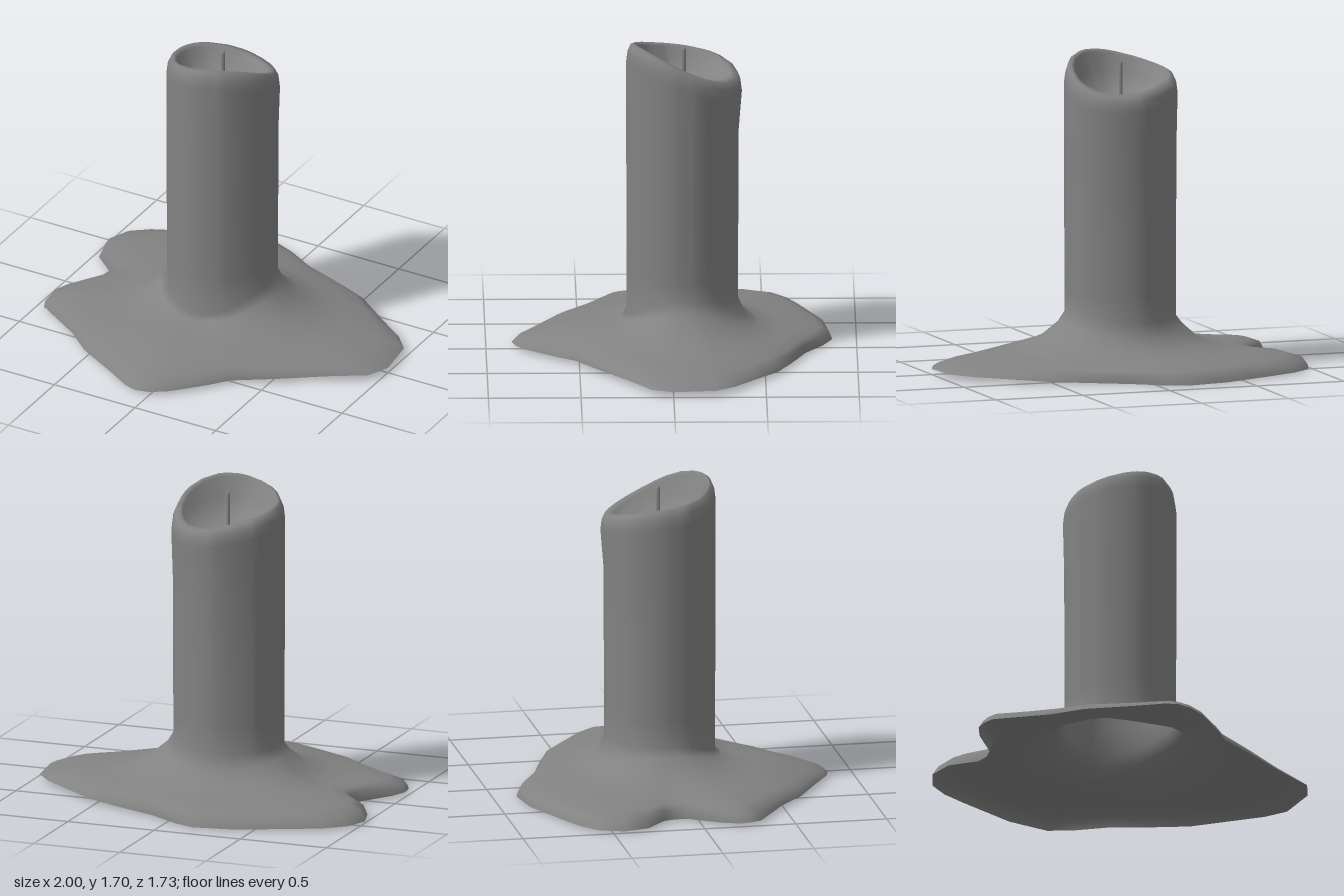
import * as THREE from 'three';

const CX = -0.06, CZ = -0.06;
const COLOR = 0x828282;

// Edge of the wax pool, x then z, running from +x towards +z
const OUTLINE = [
  1, 0, 0.95, 0.12, 0.75, 0.24, 0.53, 0.39, 0.32, 0.52, 0.24, 0.62, 0.09, 0.78, 0, 0.84,
  -0.08, 0.86, -0.15, 0.84, -0.3, 0.75, -0.53, 0.62, -0.68, 0.49, -0.95, 0.32, -0.975, 0.26,
  -0.98, 0.2, -0.94, 0.11, -0.82, -0.05, -0.81, -0.12, -0.83, -0.19, -0.96, -0.3, -1, -0.44,
  -0.95, -0.57, -0.85, -0.65, -0.72, -0.71, -0.4, -0.84, -0.17, -0.87, -0.05, -0.82,
  0.12, -0.72, 0.33, -0.65, 0.54, -0.57, 0.71, -0.45, 0.88, -0.33, 0.97, -0.23,
];

// Pool rings: fraction from column to edge, then height at front, back, left (+x), right (-x)
const POOL = [
  [0.96, 0.045, 0.045, 0.05, 0.06],
  [0.85, 0.07, 0.068, 0.078, 0.088],
  [0.62, 0.11, 0.092, 0.1, 0.1],
  [0.42, 0.135, 0.105, 0.12, 0.107],
  [0.2, 0.145, 0.13, 0.185, 0.16],
  [0.06, 0.165, 0.185, 0.26, 0.235],
  [0, 0.185, 0.27, 0.32, 0.28],
];

const FLOOR = 1.47;
const lerp = THREE.MathUtils.lerp;

// Uneven height of the melted rim around the candle
const rimHeight = (a) => 1.61 + 0.083 * Math.sin(a) + 0.022 * Math.sin(2 * a);

// One strand of points from the pool edge, up the column and into the melted bowl
function strand(x, z) {
  const a = Math.atan2(z - CZ, x - CX);
  const c = Math.cos(a), s = Math.sin(a), h = rimHeight(a);
  const bulge = 0.018 * Math.max(0, -s);
  const at = (r, y) => [CX + r * c, y, CZ + r * s];
  const edgeY = 0.03 * Math.max(0, x) + 0.01 * Math.max(0, -x) + 0.02 * Math.max(0, z);
  const points = [[x, edgeY, z]];
  const edge = Math.hypot(x - CX, z - CZ);
  for (const [t, front, back, left, right] of POOL) {
    // Rings start round at the column and take on the outline further out
    const r = lerp(0.3, lerp(0.9, edge, t), t);
    points.push(at(r, lerp(s > 0 ? front : back, c > 0 ? left : right, c * c)));
  }
  points.push(
    at(0.3, 0.42), at(0.302, 0.8), at(0.303, 1.2),
    at(0.303 + bulge, h - 0.1), at(0.296 + bulge, h - 0.045), at(0.28 + bulge, h - 0.008),
    at(0.262, h), at(0.247, h - 0.016),
    at(0.215, lerp(h, FLOOR, 0.5)), at(0.16, lerp(h, FLOOR, 0.86)), at(0.08, FLOOR + 0.004),
  );
  return points;
}

function waxGeometry() {
  const strands = [];
  for (let i = 0; i < OUTLINE.length; i += 2) strands.push(strand(OUTLINE[i], OUTLINE[i + 1]));
  const n = strands.length, m = strands[0].length;
  const positions = strands.flat(2);
  positions.push(CX, FLOOR, CZ);
  const index = [];
  for (let i = 0; i < n; i++) {
    const p = i * m, q = ((i + 1) % n) * m;
    for (let j = 0; j < m - 1; j++) {
      index.push(p + j, p + j + 1, q + j + 1, p + j, q + j + 1, q + j);
    }
    index.push(p + m - 1, n * m, q + m - 1);
  }
  const geometry = new THREE.BufferGeometry();
  geometry.setAttribute('position', new THREE.Float32BufferAttribute(positions, 3));
  geometry.setIndex(index);
  geometry.computeVertexNormals();
  return geometry;
}

export function createModel() {
  const model = new THREE.Group();
  model.name = 'meltedCandle';

  // Column, spreading pool and hollow top as one open skin
  const wax = new THREE.Mesh(
    waxGeometry(),
    new THREE.MeshStandardMaterial({ color: COLOR, side: THREE.DoubleSide }),
  );
  wax.name = 'wax';
  model.add(wax);

  // Short wick with a rounded tip
  const profile = [[0.011, 0], [0.011, 0.1], [0.011, 0.2], [0.007, 0.215], [0, 0.218]]
    .map(([r, y]) => new THREE.Vector2(r, y));
  const wick = new THREE.Mesh(
    new THREE.LatheGeometry(profile, 8),
    new THREE.MeshStandardMaterial({ color: COLOR }),
  );
  wick.name = 'wick';
  wick.position.set(CX, 1.45, -0.068);
  model.add(wick);

  return model;
}
